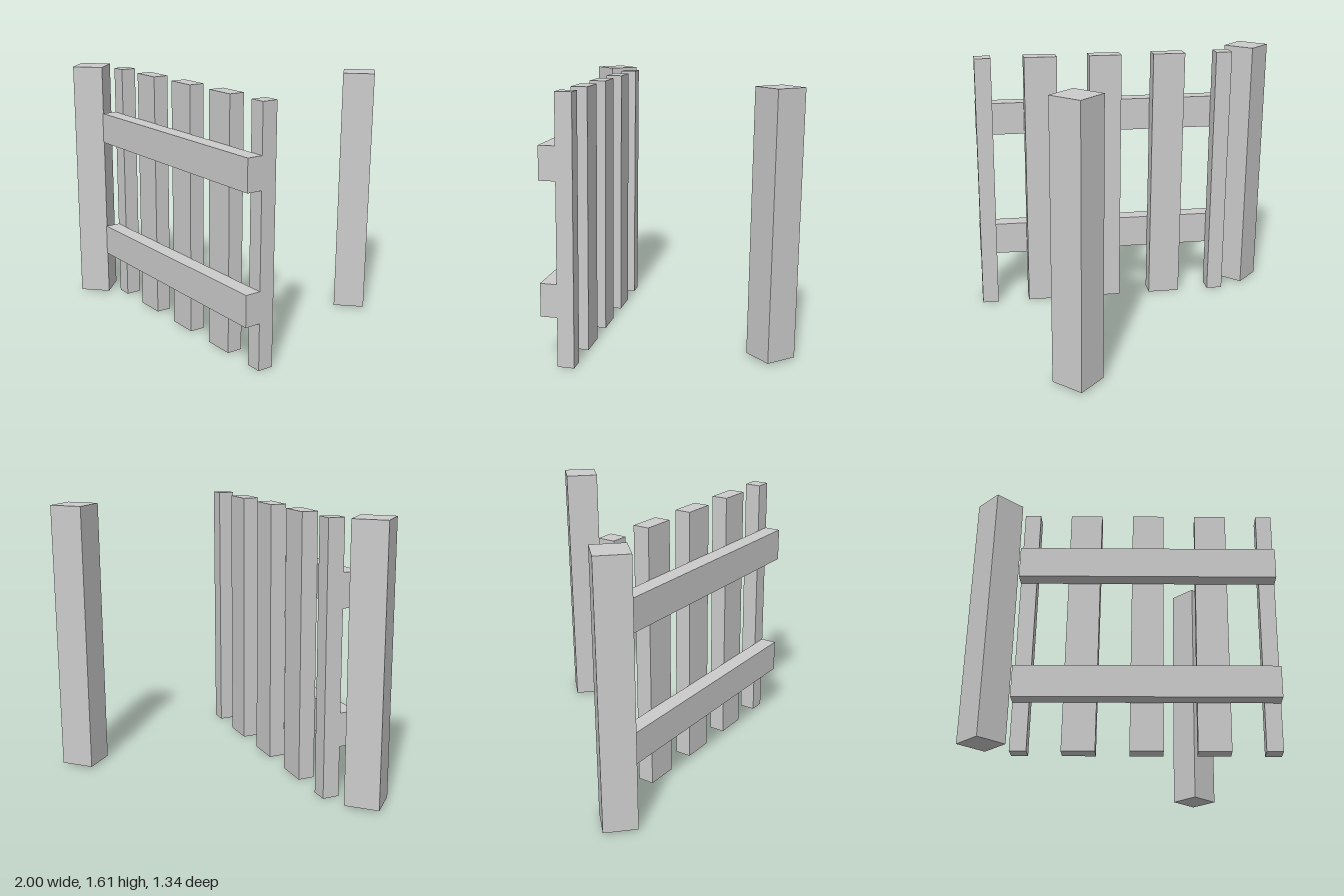
import * as THREE from 'three';

const material = new THREE.MeshStandardMaterial({ color: 0xcccccc, flatShading: true });

function addBox(parent, name, size, position) {
  const mesh = new THREE.Mesh(new THREE.BoxGeometry(...size), material);
  mesh.name = name;
  mesh.position.set(...position);
  parent.add(mesh);
}

export function createModel() {
  const model = new THREE.Group();
  model.name = 'openGate';

  // Two square gate posts, raised slightly off the ground
  addBox(model, 'rightPost', [0.2, 1.6, 0.2], [-0.9, 0.81, -0.573]);
  addBox(model, 'leftPost', [0.2, 1.6, 0.2], [0.9, 0.81, -0.573]);

  // Gate leaf, swung open 45 degrees from the right post
  const gate = new THREE.Group();
  gate.name = 'gate';
  gate.position.set(-0.2, 0, 0.067);
  gate.rotation.y = -Math.PI / 4;
  model.add(gate);

  // Horizontal rails on the front of the leaf
  addBox(gate, 'lowerRail', [1.6, 0.2, 0.1], [0, 0.4, 0]);
  addBox(gate, 'upperRail', [1.6, 0.2, 0.1], [0, 1.2, 0]);

  // Vertical pickets behind the rails; the two end ones are half width
  for (const x of [-0.75, -0.4, 0, 0.4, 0.75]) {
    const width = Math.abs(x) > 0.5 ? 0.1 : 0.2;
    addBox(gate, 'picket', [width, 1.6, 0.1], [x, 0.8, -0.1]);
  }

  return model;
}
